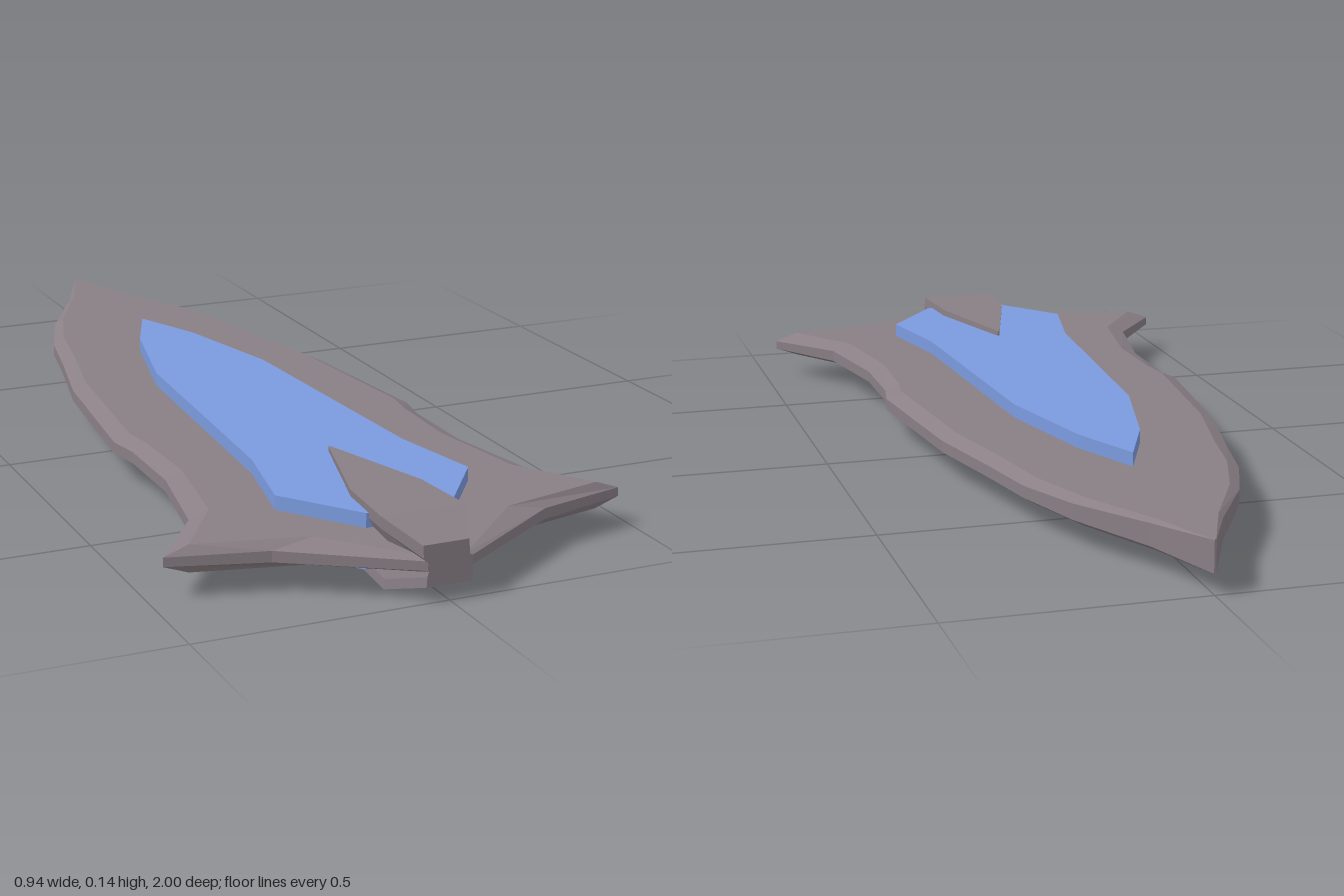
import * as THREE from 'three';

const MID = 0.0715; // height of the blade's middle plane
const steel = new THREE.MeshStandardMaterial({ color: 0x897f85, flatShading: true });
const blue = new THREE.MeshStandardMaterial({ color: 0x7b9ade, flatShading: true });

// Skin a row of closed rings (counter-clockwise seen from +z, ordered by rising z).
function loft(rings) {
  const pos = [];
  const tri = (a, b, c) => pos.push(...a, ...b, ...c);
  const n = rings[0].length;
  for (let k = 0; k < rings.length - 1; k++) {
    for (let j = 0; j < n; j++) {
      const a = rings[k][j], b = rings[k][(j + 1) % n];
      const d = rings[k + 1][j], c = rings[k + 1][(j + 1) % n];
      tri(a, b, c);
      tri(a, c, d);
    }
  }
  const cap = (ring, flip) => {
    const mid = [0, 1, 2].map(i => ring.reduce((s, p) => s + p[i], 0) / n);
    ring.forEach((p, j) => {
      const q = ring[(j + 1) % n];
      flip ? tri(mid, q, p) : tri(mid, p, q);
    });
  };
  cap(rings[0], true);
  cap(rings[rings.length - 1], false);
  const geo = new THREE.BufferGeometry();
  geo.setAttribute('position', new THREE.Float32BufferAttribute(pos, 3));
  geo.computeVertexNormals();
  return geo;
}

function addPart(group, name, geo, mat) {
  const mesh = new THREE.Mesh(geo, mat);
  mesh.name = name;
  group.add(mesh);
}

export function createModel() {
  const group = new THREE.Group();
  group.name = 'daggerBlade';

  // Blade stations: z, half width, half width of flat, half height at rim, half height of flat
  const blade = [
    [-1, 0.002, 0.001, 0.031, 0.033],
    [-0.85, 0.07, 0.06, 0.022, 0.03],
    [-0.68, 0.165, 0.145, 0.016, 0.028],
    [-0.53, 0.22, 0.195, 0.012, 0.027],
    [-0.38, 0.25, 0.222, 0.012, 0.027],
    [-0.18, 0.295, 0.265, 0.012, 0.027],
    [0.18, 0.333, 0.3, 0.012, 0.027],
    [0.25, 0.32, 0.29, 0.012, 0.027],
    [0.43, 0.32, 0.285, 0.012, 0.027],
    [0.65, 0.36, 0.32, 0.012, 0.027],
    [0.8, 0.47, 0.42, 0.009, 0.027],
    [0.85, 0.28, 0.2, 0.011, 0.027],
    [1, 0.045, 0.03, 0.009, 0.014],
  ];
  addPart(group, 'blade', loft(blade.map(([z, w, f, e, h]) => [
    [w, -e], [w, e], [f, h], [-f, h], [-w, e], [-w, -e], [-f, -h], [f, -h],
  ].map(([x, y]) => [x, MID + y, z]))), steel);

  // Raised coloured inlay showing on both faces
  const half = [[0.065, -0.36], [0.126, -0.1], [0.162, 0.5], [0.202, 0.7], [0.088, 0.85]];
  const outline = [[0, -0.515], ...half, ...half.map(([x, z]) => [-x, z]).reverse()];
  const inlay = new THREE.ExtrudeGeometry(
    new THREE.Shape(outline.map(([x, z]) => new THREE.Vector2(x - 0.006, -z))),
    { depth: 0.11, bevelEnabled: false });
  inlay.rotateX(-Math.PI / 2);
  inlay.translate(0, 0.017, 0);
  addPart(group, 'inlay', inlay, blue);

  // Pointed clasp wrapping the base: z, half width, waist half width, bottom, top
  const clasp = [
    [0.515, 0.002, 0.001, 0.003, 0.138],
    [0.76, 0.073, 0.06, 0.001, 0.141],
    [0.91, 0.085, 0.07, 0, 0.142],
    [1, 0.046, 0.04, 0.031, 0.112],
  ];
  addPart(group, 'clasp', loft(clasp.map(([z, w, s, b, t]) => [
    [w - 0.003, b], [w, b + 0.02], [s, MID], [w - 0.008, t - 0.025], [w - 0.01, t],
    [-w - 0.01, t], [-w - 0.008, t - 0.025], [-s, MID], [-w, b + 0.02], [-w - 0.001, b],
  ].map(([x, y]) => [x, y, z]))), steel);

  return group;
}
